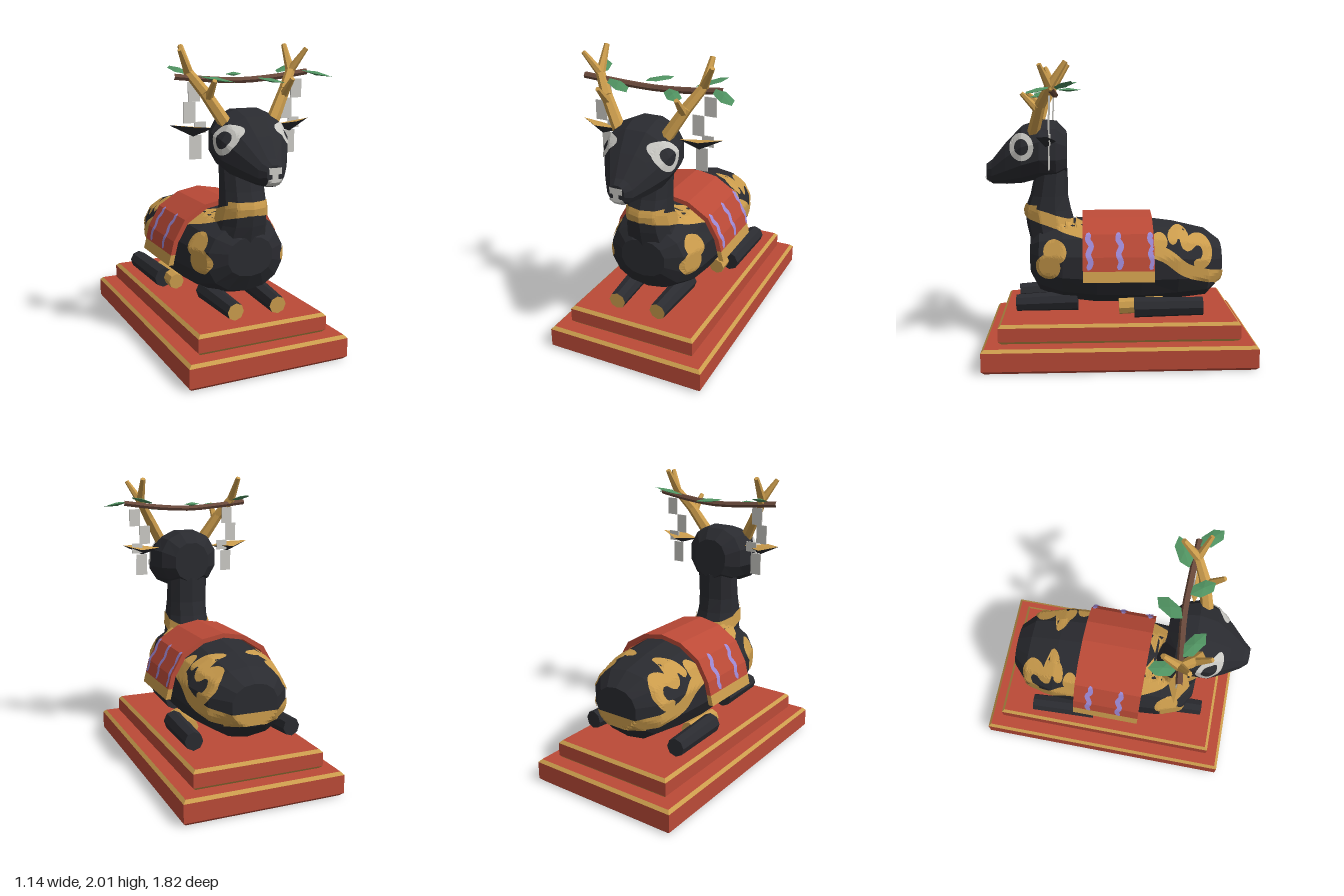
import * as THREE from 'three';

const mat = (name, color) => { const m = new THREE.MeshStandardMaterial({ color }); m.name = name; return m; };

export function createModel() {
  const dark = mat('black lacquer', 0x2a2b30), gold = mat('gold', 0xcb9c4c), red = mat('red', 0xbb4a37);
  const white = mat('white', 0xcac9c4), green = mat('green', 0x4f9160), brown = mat('brown', 0x6b4a3c);
  const lilac = mat('lilac', 0x9c88d4);
  const root = new THREE.Group(), model = new THREE.Group();
  root.name = 'recliningDeer';
  model.name = 'deerOnPlinth';
  model.position.x = -0.02;
  root.add(model);

  const flat = g => { const f = g.index ? g.toNonIndexed() : g; f.computeVertexNormals(); return f; };
  function add(name, geo, material, parent = model) {
    const m = new THREE.Mesh(flat(geo), material);
    m.name = name;
    parent.add(m);
    return m;
  }
  function fromTris(pts) {
    const g = new THREE.BufferGeometry();
    g.setAttribute('position', new THREE.Float32BufferAttribute(pts.flat(), 3));
    return g;
  }

  // Closed skin over elliptical sections [t, centre, halfWidth, halfDepth] along z or y
  function loft(sections, n, axis) {
    const rings = sections.map(([t, c, a, b]) => Array.from({ length: n }, (_, j) => {
      const th = (j + 0.5) / n * Math.PI * 2, f = v => Math.sign(v) * Math.abs(v) ** 0.9;
      const p = a * f(Math.cos(th)), q = b * f(Math.sin(th));
      return axis === 'z' ? [p, c + q, t] : [p, t, c - q];
    }));
    const mid = ([t, c]) => axis === 'z' ? [0, c, t] : [0, t, c];
    const tris = [], last = rings.length - 1;
    for (let j = 0; j < n; j++) {
      const k = (j + 1) % n;
      for (let i = 0; i < last; i++) {
        const A = rings[i][j], B = rings[i][k], C = rings[i + 1][k], D = rings[i + 1][j];
        tris.push(A, B, C, A, C, D);
      }
      tris.push(mid(sections[0]), rings[0][k], rings[0][j]);
      tris.push(mid(sections[last]), rings[last][j], rings[last][k]);
    }
    return fromTris(tris);
  }

  // Tapered round bar from a to b
  function limb(name, a, b, r1, r2, material, sides = 6) {
    const A = new THREE.Vector3(...a), B = new THREE.Vector3(...b), d = B.clone().sub(A);
    const g = new THREE.CylinderGeometry(r2, r1, d.length(), sides);
    g.applyQuaternion(new THREE.Quaternion().setFromUnitVectors(new THREE.Vector3(0, 1, 0), d.normalize()));
    g.translate(...A.add(B).multiplyScalar(0.5).toArray());
    return add(name, g, material);
  }

  // Painted patch: a grid fn(u, v) -> [across, up] cast onto the target surfaces
  const caster = new THREE.Raycaster();
  function paint(name, targets, material, axis, s, fn, nu = 24, nv = 4) {
    const dir = axis === 'x' ? new THREE.Vector3(-s, 0, 0) : new THREE.Vector3(0, 0, -s);
    const cast = (u, v) => {
      const [a, b] = fn(u, v);
      caster.set(axis === 'x' ? new THREE.Vector3(s * 2, b, a) : new THREE.Vector3(a, b, s * 2), dir);
      const hit = caster.intersectObjects(targets, false)[0];
      return hit && hit.point.addScaledVector(dir, -0.004).addScaledVector(hit.face.normal, 0.004);
    };
    const grid = [], tris = [];
    for (let i = 0; i <= nu; i++) grid.push(Array.from({ length: nv + 1 }, (_, j) => cast(i / nu, j / nv)));
    const tri = (a, b, c) => {
      if (!a || !b || !c) return;
      const n = b.clone().sub(a).cross(c.clone().sub(a));
      tris.push(...(n.dot(dir) < 0 ? [a, b, c] : [a, c, b]).map(p => p.toArray()));
    };
    for (let i = 0; i < nu; i++) for (let j = 0; j < nv; j++) {
      tri(grid[i][j], grid[i + 1][j], grid[i + 1][j + 1]);
      tri(grid[i][j], grid[i + 1][j + 1], grid[i][j + 1]);
    }
    if (tris.length) add(name, fromTris(tris), material);
  }
  const ring = (ca, cb, ri, ro, tall = 1) => (u, v) => {
    const r = ri + (ro - ri) * v, t = u * Math.PI * 2;
    return [ca + r * Math.cos(t), cb + r * tall * Math.sin(t)];
  };
  function strip(points, width, round) {
    const curve = new THREE.CatmullRomCurve3(points.map(([a, b]) => new THREE.Vector3(a, b, 0)));
    return (u, v) => {
      const p = curve.getPoint(u), t = curve.getTangent(u);
      const w = (v - 0.5) * width * (round ? Math.min(1, Math.sqrt(u * (1 - u) * 16)) : 1);
      return [p.x - t.y * w, p.y + t.x * w];
    };
  }

  // Two-step plinth with gilded chamfers
  function slab(name, w, d, y0, y1, lowTrim) {
    const b = 0.02, g = new THREE.Group();
    g.name = name;
    model.add(g);
    add('slabSides', new THREE.BoxGeometry(w, y1 - y0 - 2 * b, d).translate(0, (y0 + y1) / 2, 0), red, g);
    for (const s of [1, -1]) {
      const geo = new THREE.BoxGeometry(w, b, d), p = geo.attributes.position;
      for (let i = 0; i < p.count; i++) if (p.getY(i) * s > 0)
        p.setXYZ(i, p.getX(i) - Math.sign(p.getX(i)) * b, p.getY(i), p.getZ(i) - Math.sign(p.getZ(i)) * b);
      geo.translate(0, s > 0 ? y1 - b / 2 : y0 + b / 2, 0);
      const edge = s > 0 ? gold : lowTrim;
      add('slabTrim', geo, [edge, edge, red, red, edge, edge], g);
    }
  }
  slab('lowerSlab', 1.11, 1.815, 0, 0.165, red);
  slab('upperSlab', 0.905, 1.61, 0.165, 0.297, gold);

  // Body, neck and head
  const body = add('body', loft([
    [-0.72, 0.63, 0.16, 0.14], [-0.61, 0.62, 0.28, 0.235], [-0.4, 0.635, 0.335, 0.27], [-0.15, 0.64, 0.345, 0.3],
    [0.15, 0.645, 0.345, 0.3], [0.38, 0.65, 0.33, 0.275], [0.54, 0.66, 0.27, 0.225], [0.605, 0.68, 0.16, 0.13],
  ], 14, 'z'), dark);
  const neck = add('neck', loft([
    [0.75, 0.43, 0.2, 0.17], [0.88, 0.46, 0.165, 0.17], [1.0, 0.485, 0.15, 0.16], [1.1, 0.475, 0.145, 0.13],
    [1.28, 0.455, 0.145, 0.11],
  ], 10, 'y'), dark);
  const head = add('head', loft([
    [0.35, 1.4, 0.13, 0.14], [0.42, 1.415, 0.215, 0.2], [0.53, 1.42, 0.25, 0.205], [0.65, 1.385, 0.235, 0.2],
    [0.76, 1.325, 0.165, 0.148], [0.86, 1.265, 0.09, 0.085], [0.9, 1.265, 0.055, 0.055],
  ], 12, 'z'), dark);

  // Saddle blanket with gold hems
  const outer = [[0.42, 0.57], [0.402, 0.64], [0.38, 0.73], [0.3, 0.87], [0.155, 0.96], [0, 0.988]];
  const inner = [[0.385, 0.57], [0.37, 0.64], [0.35, 0.72], [0.277, 0.845], [0.145, 0.93], [0, 0.957]];
  const mirror = pts => [...pts, ...pts.slice(0, -1).reverse().map(([x, y]) => [-x, y])];
  const arch = (out, inn) => new THREE.ExtrudeGeometry(
    new THREE.Shape([...out, ...inn.slice().reverse()].map(p => new THREE.Vector2(...p))),
    { depth: 0.475, bevelEnabled: false }).translate(0, 0, -0.23);
  const blanket = add('blanket', arch(mirror(outer.slice(1)), mirror(inner.slice(1))), red);
  for (const s of [1, -1]) {
    const side = pts => pts.slice(0, 2).map(([x, y]) => [s * x, y]);
    add('blanketHem', arch(side(outer), side(inner)), gold);
    for (const z of s > 0 ? [0.2, 0, -0.212] : [0.1, -0.12])
      paint('blanketSquiggle', [blanket], lilac, 'x', s, strip(
        [[z + 0.012, 0.65], [z - 0.008, 0.7], [z + 0.008, 0.75], [z - 0.012, 0.8], [z + 0.01, 0.84], [z, 0.88]], 0.036, true));
  }

  for (const s of [1, -1]) {
    // Gilded markings
    const skin = [body, neck];
    paint('collarStrap', skin, gold, 'x', s, strip([[0.65, 1.0], [0.5, 0.955], [0.36, 0.905], [0.2, 0.87]], 0.085), 40);
    paint('shoulderSpot', [body], gold, 'x', s, ring(0.43, 0.75, 0, 0.078));
    paint('shoulderSpot', [body], gold, 'x', s, ring(0.475, 0.65, 0, 0.083));
    paint('flankBand', [body], gold, 'x', s,
      strip([[-0.2, 0.77], [-0.32, 0.72], [-0.45, 0.625], [-0.6, 0.575], [-0.717, 0.54]], 0.09), 36);
    paint('haunchSwirl', [body], gold, 'x', s, strip([[-0.36, 0.79], [-0.37, 0.85], [-0.43, 0.85], [-0.46, 0.78],
      [-0.51, 0.81], [-0.57, 0.8], [-0.6, 0.73], [-0.56, 0.66], [-0.5, 0.68]], 0.07, true), 50);
    paint('flankScroll', [body], gold, 'x', s, ring(-0.27, 0.81, 0, 0.055));
    paint('eyeRing', [head], white, 'x', s, ring(0.645, 1.445, 0.047, 0.082, 1.1), 28);

    // Folded legs with gold hoof faces
    limb('frontLeg', [s * 0.17, 0.385, 0.28], [s * 0.15, 0.365, 0.7], 0.07, 0.058, [dark, gold, dark], 8);
    limb('hindLeg', [s * 0.35, 0.385, -0.56], [s * 0.32, 0.372, -0.1], 0.062, 0.07, dark, 8);
    limb('hindHoof', [s * 0.27, 0.38, -0.3], [s * 0.265, 0.365, -0.0], 0.055, 0.055, gold, 8);

    // Antlers
    const fork = [s * 0.355, 1.84, 0.45], bend = [s * 0.275, 1.72, 0.515];
    limb('antlerBase', [s * 0.16, 1.53, 0.57], bend, 0.042, 0.036, gold);
    limb('antlerBeam', bend, fork, 0.036, 0.03, gold);
    limb('antlerRearTine', fork, [s * 0.365, 2.0, 0.345], 0.03, 0.017, gold);
    limb('antlerOuterTine', fork, [s * 0.435, 1.98, 0.51], 0.028, 0.015, gold);
    limb('antlerFrontTine', [s * 0.26, 1.69, 0.53], [s * 0.265, 1.8, 0.635], 0.028, 0.015, gold);

    // Ears: gold hollow above, dark shell below
    const R = [s * 0.2, 1.5, 0.48], F = [s * 0.36, 1.52, 0.54], T = [s * 0.49, 1.53, 0.46];
    const B = [s * 0.36, 1.495, 0.41], D = [s * 0.34, 1.455, 0.48];
    const wind = p => s > 0 ? p : p.slice().reverse();
    add('earInner', fromTris(wind([R, F, T, R, T, B])), gold);
    add('earOuter', fromTris(wind([R, D, F, F, D, T, T, D, B, B, D, R])), dark);

    // Folded paper streamers
    const xs = s > 0 ? [0.4, 0.325, 0.385, 0.35] : [-0.32, -0.355, -0.28, -0.315];
    [[1.725, 0.12], [1.6, 0.13], [1.505, 0.07], [1.385, 0.15]].forEach(([y, h], i) =>
      add('paperStreamer', new THREE.BoxGeometry(0.078, h, 0.008).translate(xs[i], y, 0.45 + (i % 2) * 0.008), white));
  }

  paint('collarFront', [neck], gold, 'z', 1, (u, v) => [(u - 0.5) * 0.29, 0.955 + v * 0.085]);
  paint('rumpBand', [body], gold, 'z', -1, (u, v) => [(u - 0.5) * 0.38, 0.5 + v * 0.085]);

  // Nose marking
  for (const [w, y0, y1] of [[0.085, 1.265, 1.305], [0.04, 1.235, 1.268], [0.09, 1.195, 1.237]])
    paint('noseMark', [head], white, 'z', 1, (u, v) => [(u - 0.5) * w, y0 + v * (y1 - y0)], 8);

  // Twig between the antlers, with leaves
  const twig = new THREE.CatmullRomCurve3([[-0.46, 1.82, 0.465], [-0.25, 1.8, 0.445], [0, 1.785, 0.425],
    [0.25, 1.8, 0.43], [0.48, 1.83, 0.44]].map(p => new THREE.Vector3(...p)));
  add('twig', new THREE.TubeGeometry(twig, 10, 0.021, 6), brown);
  for (const [x0, z0, x1, z1, y, rise] of [
    [-0.29, 0.45, -0.1, 0.575, 1.8, -0.15], [0.06, 0.25, -0.05, 0.42, 1.82, 0], [0.12, 0.44, 0.24, 0.585, 1.785, -0.15],
    [0.28, 0.41, 0.46, 0.31, 1.85, 0.25], [0.43, 0.45, 0.59, 0.585, 1.82, -0.2], [-0.37, 0.44, -0.41, 0.27, 1.855, 0.25]]) {
    const leaf = new THREE.SphereGeometry(1, 6, 2);
    leaf.scale(Math.hypot(x1 - x0, z1 - z0) / 2, 0.013, 0.052);
    leaf.rotateZ(rise);
    leaf.rotateY(-Math.atan2(z1 - z0, x1 - x0));
    add('leaf', leaf.translate((x0 + x1) / 2, y, (z0 + z1) / 2), green);
  }
  return root;
}
